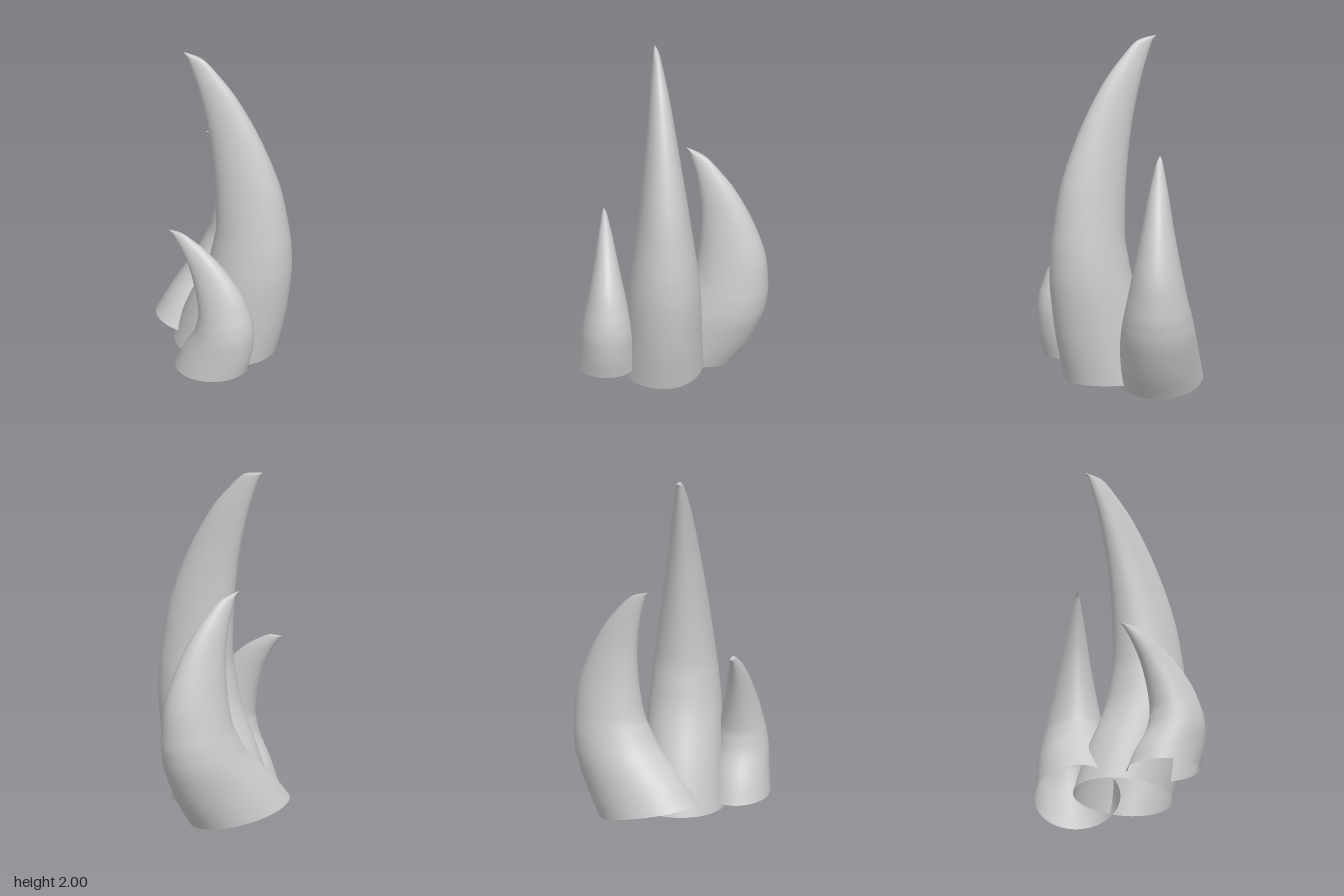
import * as THREE from 'three';

// Claw cross-sections: [height, centre offset towards the tip, depth radius, width radius]
const SECTIONS = [
  [0, 0, 0.3, 0.24],
  [0.25, -0.068, 0.288, 0.224],
  [0.53, -0.145, 0.248, 0.208],
  [0.71, -0.168, 0.228, 0.19],
  [0.86, -0.17, 0.213, 0.17],
  [1.15, -0.137, 0.194, 0.132],
  [1.45, -0.06, 0.156, 0.092],
  [1.7, 0.04, 0.115, 0.059],
  [1.85, 0.127, 0.077, 0.034],
  [1.92, 0.178, 0.055, 0.02],
  [1.94, 0.213, 0.036, 0.011],
  [1.95, 0.26, 0, 0],
];

// Hollow curved horn, open at the base, bending towards +z
function clawGeometry(rings = 60, sides = 56) {
  const curve = (f) => new THREE.CatmullRomCurve3(SECTIONS.map(f), false, 'catmullrom', 0.5);
  const spine = curve(([y, c, a]) => new THREE.Vector3(c, y, a));
  const width = curve(([y, , , b]) => new THREE.Vector3(b, y, 0));
  const positions = [];
  const index = [];
  for (let i = 0; i <= rings; i++) {
    const s = spine.getPoint(i / rings);
    const b = Math.max(0, width.getPoint(i / rings).x);
    const a = Math.max(0, s.z);
    for (let j = 0; j < sides; j++) {
      const t = (j / sides) * Math.PI * 2;
      positions.push(b * Math.sin(t), s.y, s.x + a * Math.cos(t));
      if (i === rings) continue;
      const p = i * sides + j;
      const q = i * sides + ((j + 1) % sides);
      index.push(p, q, q + sides);
      if (i < rings - 1) index.push(p, q + sides, p + sides);
    }
  }
  const geometry = new THREE.BufferGeometry();
  geometry.setAttribute('position', new THREE.Float32BufferAttribute(positions, 3));
  geometry.setIndex(index);
  geometry.computeVertexNormals();
  return geometry;
}

export function createModel() {
  const group = new THREE.Group();
  group.name = 'clawCluster';
  const geometry = clawGeometry();
  const material = new THREE.MeshStandardMaterial({ color: 0xcccccc, side: THREE.DoubleSide });

  // Each claw: base centre, heading and forward tilt in degrees, girth and height scale
  const claws = [
    { name: 'tallClaw', at: [0.025, 0.05, 0.055], yaw: -60, tilt: 0, girth: 1, height: 1 },
    { name: 'rearClaw', at: [-0.23, 0.062, 0.01], yaw: 0, tilt: -12, girth: 1.01, height: 0.642 },
    { name: 'smallClaw', at: [0.235, 0.11, 0.3], yaw: -64.5, tilt: 6, girth: 0.72, height: 0.449 },
  ];
  for (const { name, at, yaw, tilt, girth, height } of claws) {
    const claw = new THREE.Mesh(geometry, material);
    claw.name = name;
    claw.position.set(...at);
    claw.rotation.set(THREE.MathUtils.degToRad(tilt), THREE.MathUtils.degToRad(yaw), 0, 'YXZ');
    claw.scale.set(girth, height, girth);
    group.add(claw);
  }
  return group;
}
